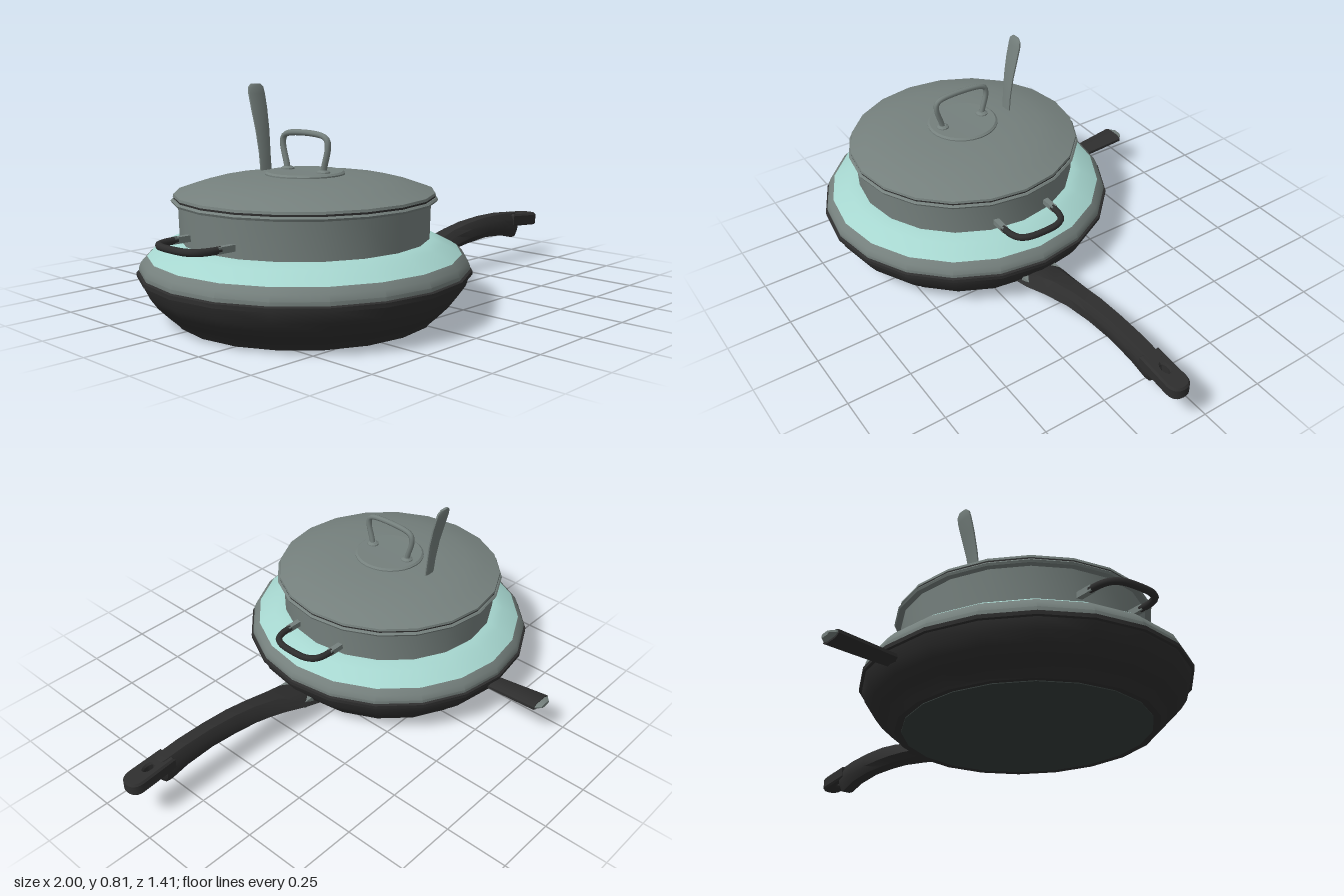
import * as THREE from 'three';
import { toCreasedNormals } from 'three/addons/utils/BufferGeometryUtils.js';

const CX = -0.41, CZ = 0.107, SIDES = 20;
const mat = (color) => new THREE.MeshStandardMaterial({ color });
const black = mat(0x2e2e2e), steel = mat(0x75807d), teal = mat(0xa6d6cf), baseGrey = mat(0x343c3a);

function part(name, geometry, material, parent) {
  const m = new THREE.Mesh(geometry, material);
  m.name = name;
  parent.add(m);
  return m;
}

// Surface of revolution, profile listed from bottom to top as [radius, y]
function turned(points, sides = SIDES) {
  const g = new THREE.LatheGeometry(points.map(([r, y]) => new THREE.Vector2(r, y)), sides);
  return toCreasedNormals(g, 0.5);
}

// Chamfered bar along +z; stations are [z, low y, high y, half width at bottom, half width at top]
function bar(stations, crease = 0.6) {
  const pos = [], index = [], n = 8;
  for (const [z, lo, hi, wb, wt] of stations) {
    const c = (hi - lo) * 0.3;
    const half = [[wb * 0.6, lo], [wb, lo + c], [wt, hi - c], [wt * 0.6, hi]];
    const ring = [...half, ...half.map(([x, y]) => [-x, y]).reverse()];
    ring.forEach(([x, y]) => pos.push(x, y, z));
  }
  const last = (stations.length - 1) * n;
  for (let s = 0; s < last; s += n) {
    for (let j = 0; j < n; j++) {
      const a = s + j, b = s + (j + 1) % n;
      index.push(a, b, b + n, a, b + n, a + n);
    }
  }
  for (let j = 1; j < n - 1; j++) {
    index.push(0, j + 1, j, last, last + j, last + j + 1);
  }
  const g = new THREE.BufferGeometry();
  g.setAttribute('position', new THREE.Float32BufferAttribute(pos, 3));
  g.setIndex(index);
  return toCreasedNormals(g, crease);
}

function tube(points, radius, steps = 40) {
  const curve = new THREE.CatmullRomCurve3(points.map((p) => new THREE.Vector3(...p)), false, 'centripetal');
  return new THREE.TubeGeometry(curve, steps, radius, 8);
}

export function createModel() {
  const model = new THREE.Group();
  model.name = 'cookwareSet';
  const stack = new THREE.Group();
  stack.name = 'stackedPans';
  stack.position.set(CX, 0, CZ);
  model.add(stack);

  // Bottom frying pan
  part('pan', turned([[0, 0.003], [0.45, 0.003], [0.465, 0], [0.47, 0.008], [0.505, 0.04], [0.545, 0.08],
    [0.57, 0.115], [0.582, 0.154], [0.592, 0.156], [0.592, 0.17], [0.58, 0.175], [0.5, 0.175]]), black, stack);
  part('panBase', turned([[0, 0], [0.44, 0], [0.44, 0.004]]), baseGrey, stack);

  // Middle pan rim and its coloured sloping top
  part('middleRim', turned([[0.56, 0.17], [0.583, 0.172], [0.584, 0.187], [0.575, 0.208], [0.555, 0.227]]), steel, stack);
  part('middleTop', turned([[0.556, 0.226], [0.535, 0.24], [0.49, 0.264], [0.46, 0.277], [0.43, 0.281]]), teal, stack);

  // Pot with rolled rim, and its lid
  part('pot', turned([[0.44, 0.24], [0.445, 0.41], [0.466, 0.412], [0.47, 0.42], [0.464, 0.426], [0.44, 0.426]]), steel, stack);
  part('lidSeal', turned([[0.45, 0.422], [0.46, 0.426], [0.46, 0.434], [0.45, 0.436]]), black, stack);
  part('lid', turned([[0.45, 0.432], [0.462, 0.433], [0.46, 0.442], [0.40, 0.463], [0.32, 0.484],
    [0.22, 0.496], [0.13, 0.502], [0, 0.503]]), steel, stack);
  part('lidPlate', turned([[0.142, 0.498], [0.142, 0.506], [0.134, 0.512], [0, 0.51]], 28), steel, stack);

  // Lid loop handle with feet
  const loop = [[0, 0.5, 0.09], [0, 0.53, 0.096], [0, 0.6, 0.115], [0, 0.628, 0.11], [0, 0.641, 0.085]];
  part('lidHandle', tube([...loop, ...loop.map(([x, y, z]) => [x, y, -z]).reverse()], 0.011), steel, stack);
  for (const s of [-1, 1]) {
    part('lidHandleFoot', turned([[0.026, 0.505], [0.024, 0.516], [0.014, 0.522], [0, 0.522]], 12), steel, stack)
      .position.z = s * 0.092;
  }

  // Pot side handles, mirrored by a half turn
  const grip = [[0.475, 0.315, 0.115], [0.52, 0.315, 0.112], [0.555, 0.315, 0.097], [0.574, 0.315, 0.065], [0.58, 0.315, 0]];
  for (const s of [0, 1]) {
    const side = new THREE.Group();
    side.name = s ? 'rightPotHandle' : 'leftPotHandle';
    side.rotation.y = s * Math.PI;
    stack.add(side);
    part('grip', tube([...grip, ...grip.slice(0, -1).map(([x, y, z]) => [x, y, -z]).reverse()], 0.013), black, side);
    for (const e of [-1, 1]) {
      part('bracket', new THREE.BoxGeometry(0.08, 0.022, 0.022), steel, side).position.set(0.448, 0.315, e * 0.115);
    }
  }

  // Long pan handle
  const handle = new THREE.Group();
  handle.name = 'panHandle';
  handle.position.z = CZ;
  model.add(handle);
  part('handleArm', bar([
    [0.05, 0.028, 0.08, 0.08, 0.05], [0.12, 0.05, 0.105, 0.085, 0.06], [0.18, 0.072, 0.125, 0.088, 0.07],
    [0.28, 0.092, 0.16, 0.07, 0.055], [0.4, 0.113, 0.19, 0.053, 0.045], [0.5, 0.123, 0.207, 0.045, 0.043],
    [0.62, 0.13, 0.216, 0.041, 0.04], [0.74, 0.122, 0.216, 0.04, 0.04], [0.815, 0.102, 0.21, 0.036, 0.039],
    [0.84, 0.104, 0.208, 0.034, 0.038], [0.86, 0.125, 0.2, 0.02, 0.02],
  ]), black, handle).rotation.y = Math.PI / 2;
  part('handleFerrule', new THREE.BoxGeometry(0.05, 0.03, 0.15), steel, handle).position.set(0.155, 0.088, 0);

  // Handle end with hanging hole, sloping slightly down
  const tip = new THREE.Shape();
  tip.moveTo(0.81, -0.036);
  tip.lineTo(0.95, -0.038);
  tip.quadraticCurveTo(0.988, -0.036, 0.988, 0);
  tip.quadraticCurveTo(0.988, 0.036, 0.95, 0.038);
  tip.lineTo(0.81, 0.036);
  const hole = new THREE.Path();
  hole.absellipse(0.892, 0, 0.03, 0.018, 0, Math.PI * 2, true);
  tip.holes.push(hole);
  const tipGeo = new THREE.ExtrudeGeometry(tip, { depth: 0.036, bevelSize: 0.006, bevelThickness: 0.008, bevelSegments: 1, curveSegments: 6 });
  tipGeo.rotateX(-Math.PI / 2);
  const p = tipGeo.attributes.position;
  for (let i = 0; i < p.count; i++) {
    p.setY(i, p.getY(i) + 0.163 - (p.getX(i) - 0.81) * 0.08);
  }
  part('handleEnd', toCreasedNormals(tipGeo, 0.5), black, handle);

  // Short rear handle with a steel tip
  const rear = new THREE.Group();
  rear.name = 'rearHandle';
  rear.position.x = CX;
  rear.rotation.y = Math.PI;
  model.add(rear);
  part('rearGrip', bar([[0.4, 0.108, 0.134, 0.036, 0.036], [0.48, 0.113, 0.142, 0.04, 0.04],
    [0.58, 0.122, 0.151, 0.045, 0.045], [0.685, 0.132, 0.161, 0.05, 0.05]]), black, rear);
  part('rearTip', bar([[0.67, 0.138, 0.158, 0.044, 0.044], [0.69, 0.139, 0.158, 0.042, 0.042],
    [0.707, 0.142, 0.156, 0.024, 0.024]]), steel, rear);

  // Upright utensil handle rising behind the lid loop
  const upright = part('uprightHandle', bar([
    [0.48, 0.096, 0.108, 0.025, 0.025], [0.56, 0.103, 0.116, 0.026, 0.026], [0.64, 0.113, 0.127, 0.031, 0.031],
    [0.72, 0.129, 0.145, 0.036, 0.036], [0.775, 0.142, 0.159, 0.037, 0.037], [0.798, 0.147, 0.163, 0.034, 0.034],
    [0.81, 0.152, 0.163, 0.022, 0.022],
  ]), steel, model);
  upright.rotation.x = -Math.PI / 2;
  upright.position.x = CX;

  return model;
}
